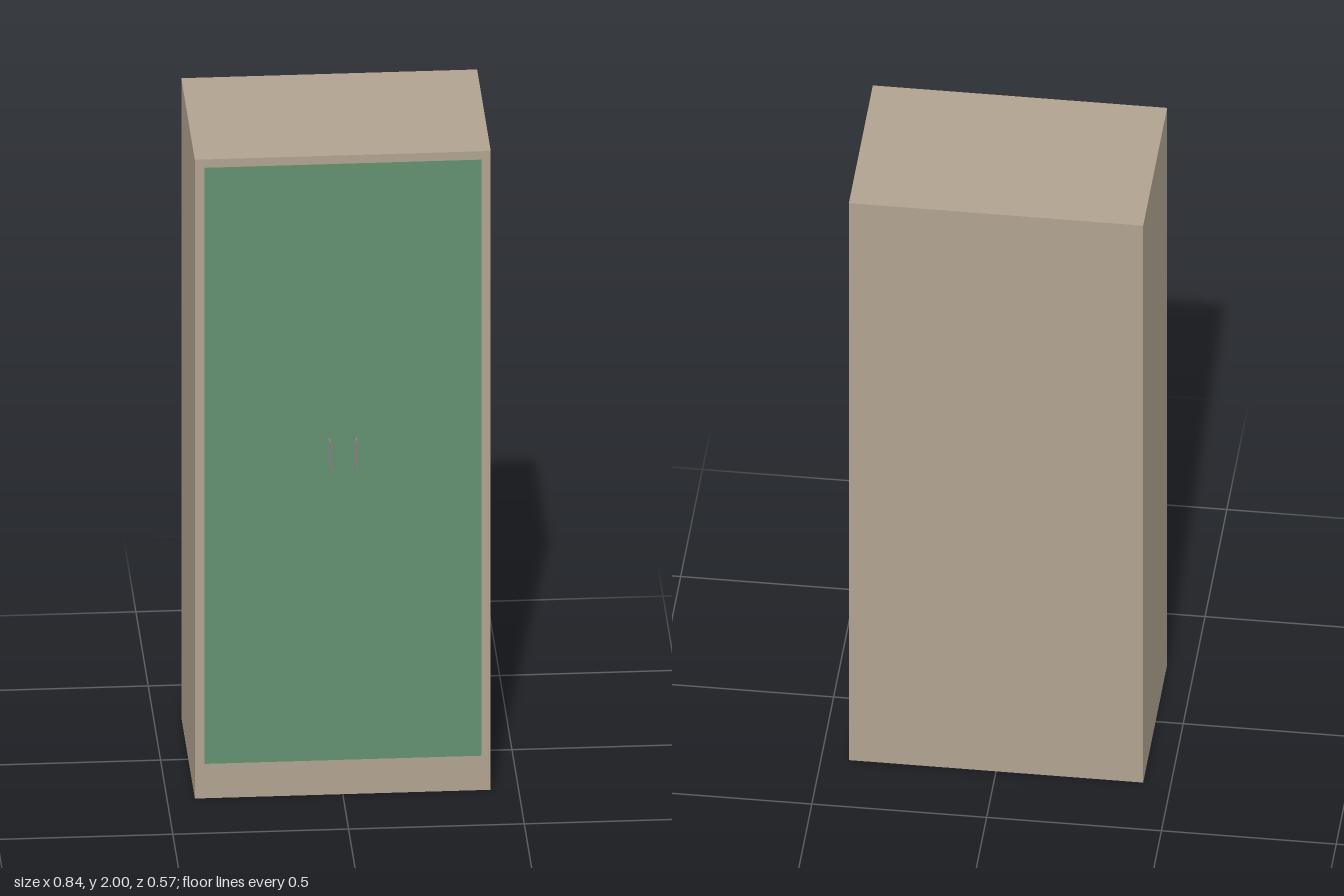
import * as THREE from 'three';

const paint = (color) => new THREE.MeshStandardMaterial({ color });

// Box given by its lower and upper corners
function block(name, [x0, y0, z0], [x1, y1, z1], material) {
  const mesh = new THREE.Mesh(new THREE.BoxGeometry(x1 - x0, y1 - y0, z1 - z0), material);
  mesh.position.set((x0 + x1) / 2, (y0 + y1) / 2, (z0 + z1) / 2);
  mesh.name = name;
  return mesh;
}

export function createModel() {
  const wood = paint(0xb0a290);
  const green = paint(0x628f70);
  const metal = paint(0x808080);
  const W = 0.421, BACK = -0.285, FRONT = 0.265, TIP = 0.285;
  const model = new THREE.Group();
  model.name = 'wardrobe';

  // Carcass
  model.add(block('cabinetBody', [-W, 0, BACK], [W, 2, FRONT], wood));

  for (const [side, s] of [['left', 1], ['right', -1]]) {
    // Inset door, practically flush with the frame
    const x0 = s > 0 ? 0 : -0.394;
    model.add(block(side + 'Door', [x0, 0.108, FRONT - 0.01], [x0 + 0.394, 1.974, FRONT + 0.0008], green));

    // Bracket handle: a vertical grip on two short posts
    const handle = new THREE.Group();
    handle.name = side + 'Handle';
    const a = s * 0.038 - 0.004, b = s * 0.038 + 0.004;
    handle.add(block('grip', [a, 1.02, TIP - 0.005], [b, 1.115, TIP], metal));
    for (const y of [1.02, 1.11]) {
      handle.add(block('post', [a, y, FRONT], [b, y + 0.005, TIP - 0.005], metal));
    }
    model.add(handle);
  }
  return model;
}
